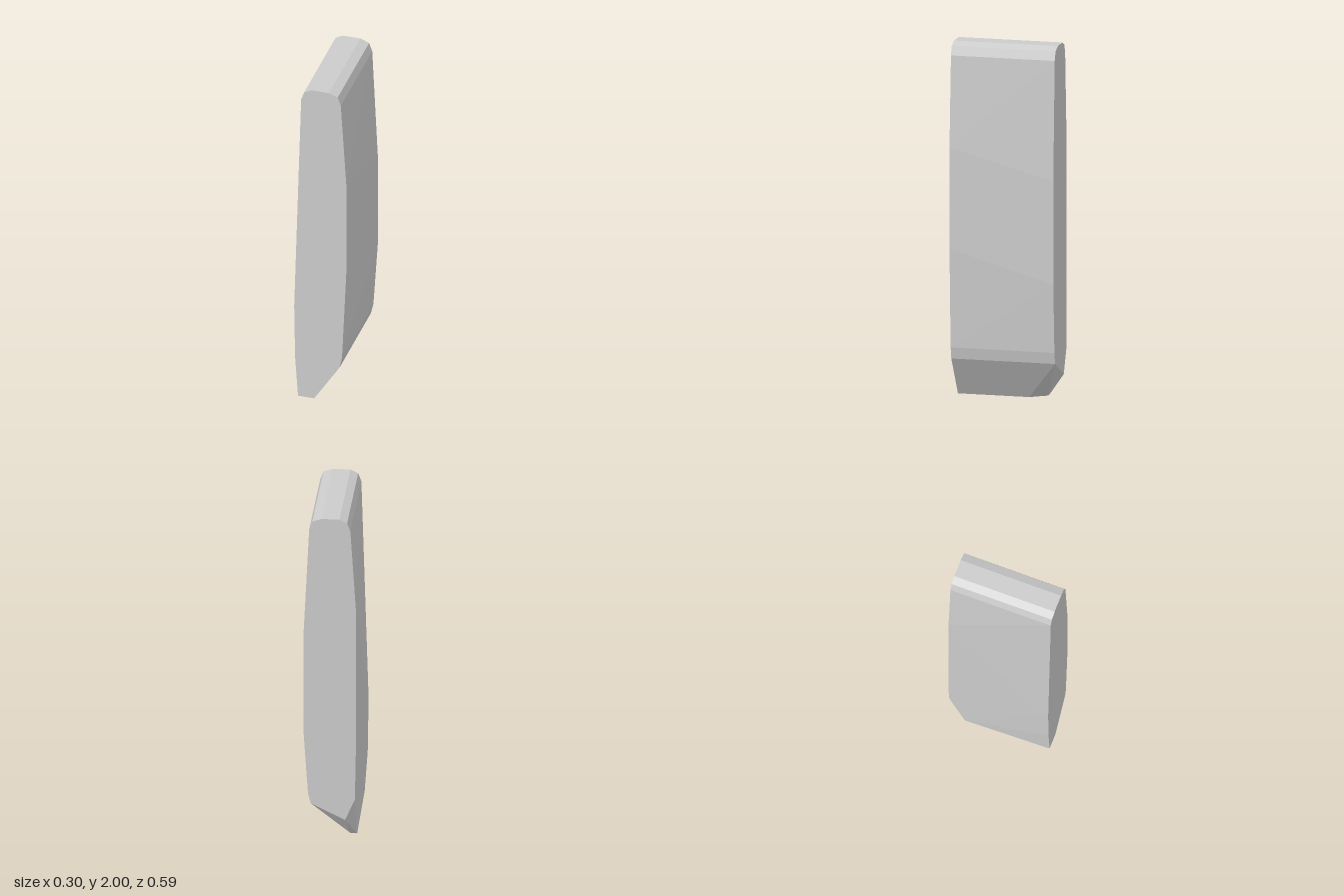
import * as THREE from 'three';
import { ConvexGeometry } from 'three/addons/geometries/ConvexGeometry.js';

const HALF_DEPTH = 0.295;

// Rounded crown shared by both ends, from right shoulder to left shoulder
const crown = [
  [0.118, 1.93], [0.1, 1.98], [0.05, 2], [-0.05, 2], [-0.092, 1.98], [-0.11, 1.93],
];

// Front end: straight left edge, slanted toe at the lower right
const frontProfile = [
  [-0.128, 0], [-0.035, 0], [0.11, 0.225], [0.125, 0.29], [0.15, 0.85], [0.15, 1.42],
  ...crown,
  [-0.15, 0.58], [-0.145, 0.25],
];

// Back end: stops above the ground where the corner is cut away
const backProfile = [
  [-0.08, 0.13], [0.11, 0.225], [0.125, 0.29], [0.15, 0.68], [0.15, 1.26],
  ...crown,
  [-0.14, 1.45], [-0.14, 0.55], [-0.135, 0.26],
];

// Rear edge of the flat foot, below the cut corner
const footRear = [[-0.035, 0, -0.11], [-0.1, 0, -0.2], [-0.138, 0, -0.2]];

const atDepth = (profile, z) => profile.map(([x, y]) => new THREE.Vector3(x, y, z));

export function createModel() {
  const group = new THREE.Group();
  group.name = 'taperedSlab';

  // One faceted convex solid spanning the two end profiles
  const geometry = new ConvexGeometry([
    ...atDepth(frontProfile, HALF_DEPTH),
    ...atDepth(backProfile, -HALF_DEPTH),
    ...footRear.map((p) => new THREE.Vector3(...p)),
  ]);
  const material = new THREE.MeshStandardMaterial({ color: 0xcccccc, flatShading: true });
  const body = new THREE.Mesh(geometry, material);
  body.name = 'slabBody';
  group.add(body);

  return group;
}
